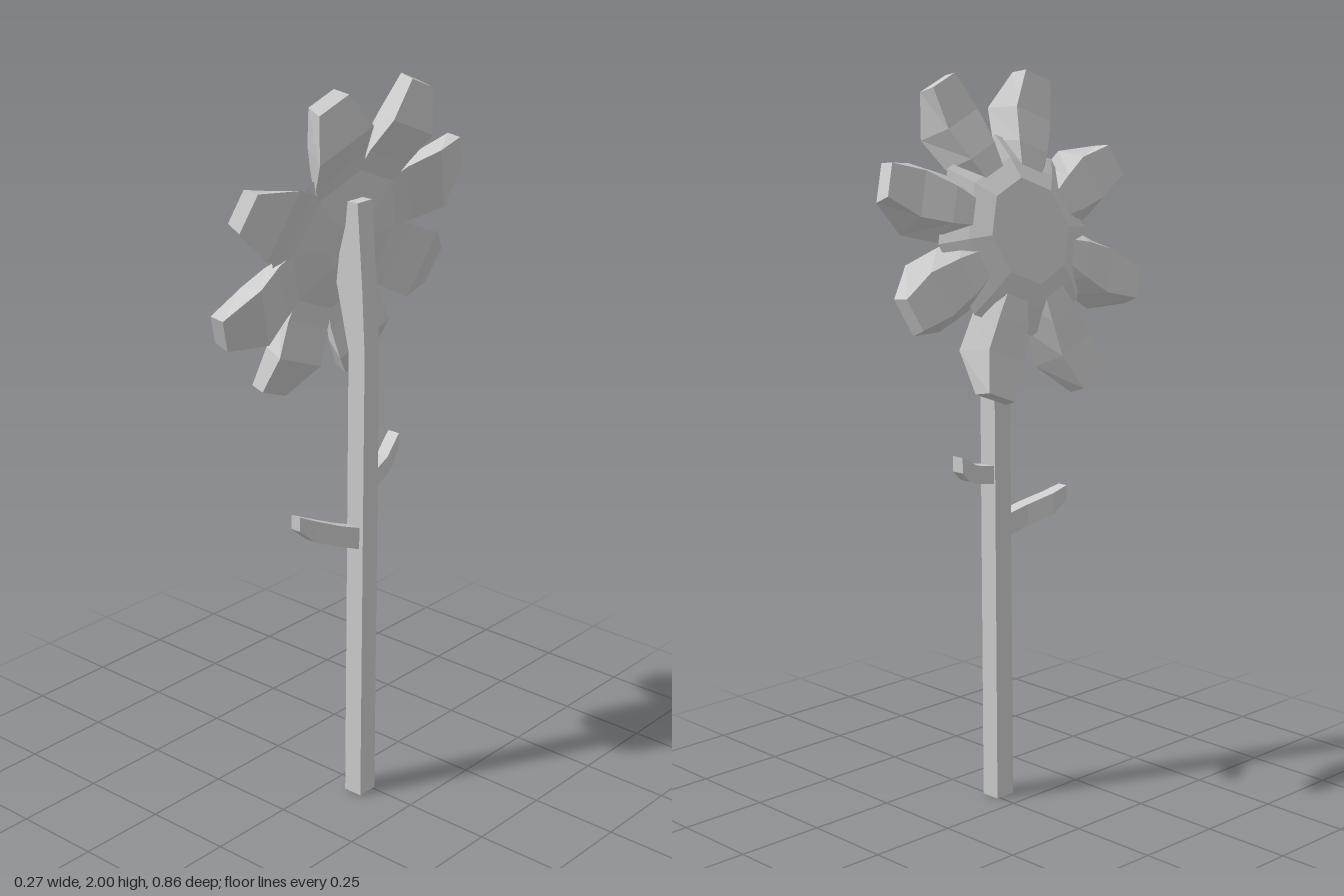
import * as THREE from 'three';

const material = new THREE.MeshStandardMaterial({ color: 0xcccccc, flatShading: true, side: THREE.DoubleSide });

// Flat-shaded solid through a row of cross-sections, each a loop of [x, y, z]
function loft(name, sections) {
  const pos = [];
  const tri = (a, b, c) => pos.push(...a, ...b, ...c);
  const n = sections[0].length;
  for (let s = 0; s < sections.length - 1; s++) {
    for (let i = 0; i < n; i++) {
      const j = (i + 1) % n, p = sections[s], q = sections[s + 1];
      tri(p[i], p[j], q[j]);
      tri(p[i], q[j], q[i]);
    }
  }
  const first = sections[0], last = sections[sections.length - 1];
  for (let i = 1; i < n - 1; i++) {
    tri(first[0], first[i + 1], first[i]);
    tri(last[0], last[i], last[i + 1]);
  }
  // turn the faces outward if the volume comes out negative
  let volume = 0;
  const a = new THREE.Vector3(), b = new THREE.Vector3(), c = new THREE.Vector3();
  for (let i = 0; i < pos.length; i += 9) {
    volume += a.fromArray(pos, i).dot(b.fromArray(pos, i + 3).cross(c.fromArray(pos, i + 6)));
  }
  if (volume < 0) {
    for (let i = 0; i < pos.length; i += 9) {
      for (let k = 0; k < 3; k++) [pos[i + 3 + k], pos[i + 6 + k]] = [pos[i + 6 + k], pos[i + 3 + k]];
    }
  }
  const geometry = new THREE.BufferGeometry();
  geometry.setAttribute('position', new THREE.Float32BufferAttribute(pos, 3));
  geometry.computeVertexNormals();
  const mesh = new THREE.Mesh(geometry, material);
  mesh.name = name;
  return mesh;
}

// Horizontal rectangle for the stem
const rect = (y, x0, x1, z0, z1) => [[x0, y, z0], [x1, y, z0], [x1, y, z1], [x0, y, z1]];

// Upright cross-section for the leaves
const slice = (z, x0, x1, y0, y1) => [[x0, y0, z], [x1, y0, z], [x1, y1, z], [x0, y1, z]];

function createFlowerHead() {
  const head = new THREE.Group();
  head.name = 'flowerHead';

  // Eight-sided disc; local x is the back, y is up
  const ring = (r, x) => Array.from({ length: 8 }, (_, i) => {
    const a = i * Math.PI / 4;
    return [x, r * Math.cos(a), r * Math.sin(a)];
  });
  head.add(loft('flowerDisc', [ring(0.08, 0.035), ring(0.268, 0.005), ring(0.2, -0.035), ring(0.14, -0.062)]));

  // Petal: radius, back x, front x, back half width, front half width
  const stations = [
    [0.15, 0.01, -0.04, 0.08, 0.03],
    [0.24, 0.025, -0.035, 0.092, 0.05],
    [0.335, 0.054, -0.022, 0.097, 0.062],
    [0.445, 0.022, -0.022, 0.053, 0.045],
  ];
  for (let i = 0; i < 8; i++) {
    const petal = loft('petal', stations.map(([r, xb, xf, wb, wf]) =>
      [[xb, r, -wb], [xb, r, wb], [xf, r, wf], [xf, r, -wf]]));
    petal.rotation.x = (i + 0.5) * Math.PI / 4;
    head.add(petal);
  }
  head.position.set(-0.005, 1.585, 0);
  head.rotation.z = -0.26;
  return head;
}

export function createModel() {
  const model = new THREE.Group();
  model.name = 'flower';

  // Square stem, bending into the back of the head
  model.add(loft('stem', [
    rect(0, 0.056, 0.112, -0.008, 0.053),
    rect(1.3, 0.057, 0.112, -0.016, 0.042),
    rect(1.48, 0.015, 0.102, -0.017, 0.041),
    rect(1.7, 0.04, 0.085, -0.016, 0.04),
  ]));

  // Two small leaves, curving forward as they leave the stem
  model.add(loft('lowerLeaf', [
    slice(0.03, 0.066, 0.104, 0.745, 0.808),
    slice(0.1, 0.045, 0.085, 0.772, 0.832),
    slice(0.165, 0.012, 0.05, 0.797, 0.858),
    slice(0.205, 0, 0.03, 0.835, 0.876),
  ]));
  model.add(loft('upperLeaf', [
    slice(-0.01, 0.062, 0.1, 0.905, 0.955),
    slice(-0.09, 0.045, 0.082, 0.922, 0.972),
    slice(-0.135, 0.028, 0.066, 0.938, 0.992),
    slice(-0.17, 0.018, 0.055, 0.968, 1.01),
  ]));

  model.add(createFlowerHead());
  return model;
}
